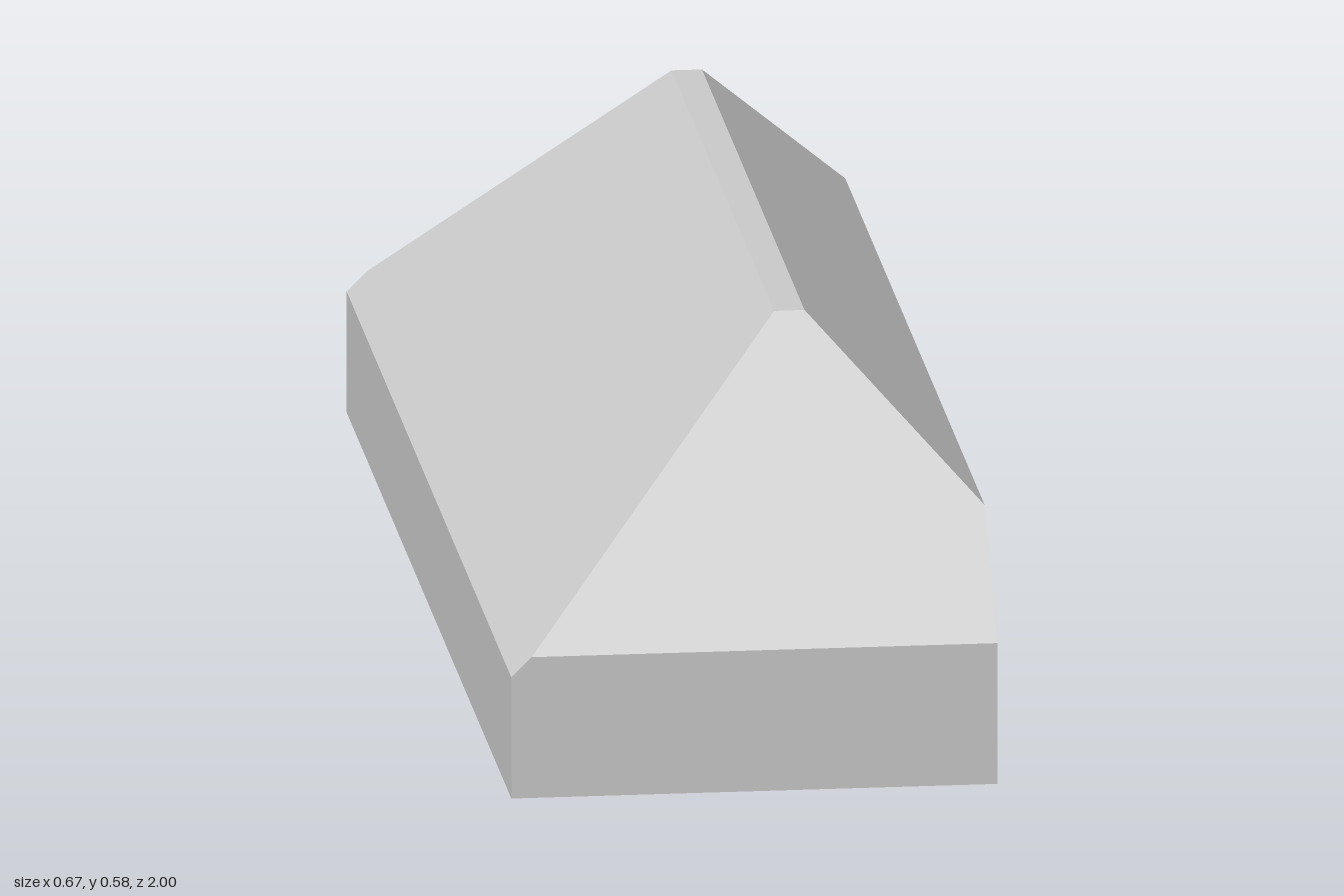
import * as THREE from 'three';
import { ConvexGeometry } from 'three/addons/geometries/ConvexGeometry.js';

export function createModel() {
  const group = new THREE.Group();
  group.name = 'hippedBlock';

  // Cross-section (x, y): upright walls, 45 degree slopes and a narrow flat ridge
  const profile = [
    [-0.335, 0], [0.335, 0], [0.335, 0.2], [0.335, 0.354],
    [0.112, 0.577], [0.07, 0.577], [-0.307, 0.2], [-0.335, 0.172],
  ];

  // Both ends are upright up to the eaves, then slope inwards at 45 degrees
  const eaves = 0.2;
  const halfLength = (y) => 1 - Math.max(0, y - eaves);
  const corners = [1, -1].flatMap((side) =>
    profile.map(([x, y]) => new THREE.Vector3(x, y, side * halfLength(y))));

  const body = new THREE.Mesh(
    new ConvexGeometry(corners),
    new THREE.MeshStandardMaterial({ color: 0xcccccc, flatShading: true }),
  );
  body.name = 'body';
  group.add(body);
  return group;
}
